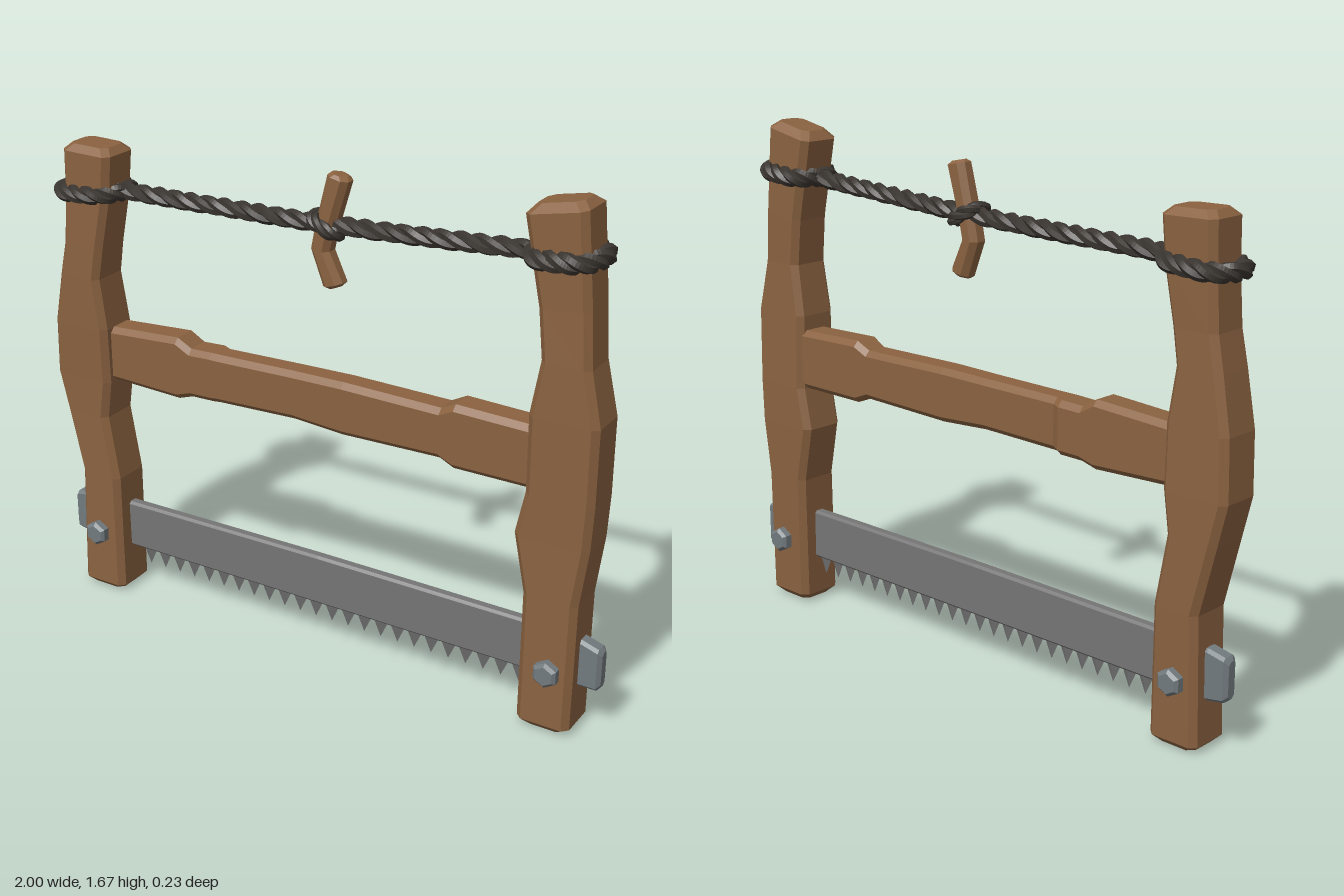
import * as THREE from 'three';

const wood = new THREE.MeshStandardMaterial({ color: 0x8a6240 });
const steel = new THREE.MeshStandardMaterial({ color: 0x757575 });
const boltSteel = new THREE.MeshStandardMaterial({ color: 0x727a7e });
const rope = new THREE.MeshStandardMaterial({ color: 0x3a3530 });

// faceted normals for a low-poly look
function faceted(geo) {
  const g = geo.index ? geo.toNonIndexed() : geo;
  g.computeVertexNormals();
  return g;
}

function addMesh(group, name, geo, material) {
  const mesh = new THREE.Mesh(faceted(geo), material);
  mesh.name = name;
  group.add(mesh);
  return mesh;
}

// Chamfered beam along 'x' or 'y'. Section: [u, a0, a1, z0, z1, tilt],
// where u runs along the beam and a is the other front-plane axis.
function beam(axis, sections, chamfer, bevel) {
  const shrink = ([u, a0, a1, z0, z1, t = 0], du) =>
    [u + du, a0 + bevel, a1 - bevel, z0 + bevel, z1 - bevel, t];
  const first = sections[0], last = sections[sections.length - 1];
  const moved = (s, du) => [s[0] + du, ...s.slice(1)];
  const all = [first, moved(first, bevel), ...sections.slice(1, -1), moved(last, -bevel), last];
  all[0] = shrink(first, 0);
  all[all.length - 1] = shrink(last, 0);

  const rings = all.map(([u, a0, a1, z0, z1, t = 0]) => {
    const c = chamfer, mid = (a0 + a1) / 2;
    return [[a1, z0 + c], [a1, z1 - c], [a1 - c, z1], [a0 + c, z1],
      [a0, z1 - c], [a0, z0 + c], [a0 + c, z0], [a1 - c, z0]].map(([a, z]) => {
      const v = u + t * (a - mid);
      return axis === 'x' ? [v, a, z] : [a, v, z];
    });
  });
  const pos = [];
  const tri = (p, q, r) => pos.push(...p, ...(axis === 'x' ? q : r), ...(axis === 'x' ? r : q));
  for (let s = 0; s < rings.length - 1; s++) {
    for (let i = 0; i < 8; i++) {
      const j = (i + 1) % 8, A = rings[s], B = rings[s + 1];
      tri(A[i], A[j], B[j]);
      tri(A[i], B[j], B[i]);
    }
  }
  const end = rings[rings.length - 1];
  for (let i = 1; i < 7; i++) {
    tri(rings[0][0], rings[0][i + 1], rings[0][i]);
    tri(end[0], end[i], end[i + 1]);
  }
  const geo = new THREE.BufferGeometry();
  geo.setAttribute('position', new THREE.Float32BufferAttribute(pos, 3));
  return geo;
}

// Three strands wound around a path
function twistedRope(name, path, radius, turns, steps) {
  const group = new THREE.Group();
  group.name = name;
  const closed = path.closed === true;
  const frames = path.computeFrenetFrames(steps, closed);
  for (let k = 0; k < 3; k++) {
    const pts = [];
    for (let i = 0; i < steps + (closed ? 0 : 1); i++) {
      const angle = (i / steps * turns + k / 3) * Math.PI * 2;
      pts.push(path.getPointAt(i / steps)
        .addScaledVector(frames.normals[i], Math.cos(angle) * radius * 0.5)
        .addScaledVector(frames.binormals[i], Math.sin(angle) * radius * 0.5));
    }
    const strand = new THREE.CatmullRomCurve3(pts, closed);
    addMesh(group, 'ropeStrand', new THREE.TubeGeometry(strand, steps, radius * 0.56, 6, closed), rope);
  }
  return group;
}

// Rounded-square loop around a post, sloping along x
function loopPath(cx, cy, rx, rz, slope) {
  const pts = [];
  const soft = (v) => Math.sign(v) * Math.abs(v) ** 0.75;
  for (let i = 0; i < 20; i++) {
    const a = i / 20 * Math.PI * 2;
    const x = soft(Math.cos(a)) * rx;
    pts.push(new THREE.Vector3(cx + x, cy + x * slope, soft(Math.sin(a)) * rz));
  }
  return new THREE.CatmullRomCurve3(pts, true);
}

export function createModel() {
  const model = new THREE.Group();
  model.name = 'frameSaw';

  // Upright posts
  addMesh(model, 'rightPost', beam('y', [
    [0.00, -0.925, -0.755, -0.075, 0.085],
    [0.43, -0.915, -0.760, -0.080, 0.080],
    [0.65, -0.970, -0.800, -0.082, 0.076],
    [0.78, -1.000, -0.780, -0.080, 0.078],
    [0.97, -0.992, -0.780, -0.076, 0.083],
    [1.14, -0.960, -0.803, -0.070, 0.083],
    [1.25, -0.938, -0.785, -0.068, 0.080],
    [1.42, -0.928, -0.752, -0.070, 0.075],
    [1.58, -0.925, -0.740, -0.072, 0.075, -0.02],
  ], 0.02, 0.022), wood);
  addMesh(model, 'leftPost', beam('y', [
    [0.00, 0.755, 0.930, -0.075, 0.085],
    [0.45, 0.752, 0.930, -0.080, 0.078],
    [0.64, 0.712, 0.953, -0.082, 0.075],
    [0.78, 0.742, 0.960, -0.080, 0.078],
    [1.03, 0.742, 0.962, -0.074, 0.083],
    [1.20, 0.770, 0.925, -0.068, 0.080],
    [1.36, 0.752, 0.912, -0.070, 0.076, 0.1],
    [1.66, 0.698, 0.885, -0.070, 0.078, 0.2],
  ], 0.02, 0.025), wood);

  // Crossbar with thicker shoulders
  addMesh(model, 'crossbar', beam('x', [
    [-0.82, 0.785, 0.970, -0.060, 0.047],
    [-0.52, 0.775, 0.987, -0.064, 0.047],
    [-0.47, 0.790, 0.957, -0.066, 0.042],
    [-0.39, 0.792, 0.960, -0.068, 0.042],
    [-0.36, 0.795, 0.960, -0.052, 0.042],
    [-0.08, 0.803, 0.965, -0.058, 0.038],
    [0.10, 0.792, 0.968, -0.060, 0.040],
    [0.44, 0.800, 0.963, -0.060, 0.042],
    [0.49, 0.780, 0.988, -0.064, 0.047],
    [0.79, 0.780, 0.980, -0.062, 0.047],
  ], 0.018, 0.01), wood);

  // Blade, its end tabs and teeth
  addMesh(model, 'blade', beam('x', [
    [-0.92, 0.158, 0.325, -0.020, 0.020],
    [0.00, 0.158, 0.332, -0.020, 0.020],
    [0.92, 0.158, 0.328, -0.020, 0.020],
  ], 0.008, 0.004), steel);
  addMesh(model, 'rightBladeTab', beam('x', [
    [-0.995, 0.170, 0.310, -0.027, 0.027],
    [-0.925, 0.160, 0.322, -0.027, 0.027],
    [-0.85, 0.160, 0.322, -0.027, 0.027],
  ], 0.01, 0.012), boltSteel);
  addMesh(model, 'leftBladeTab', beam('x', [
    [0.85, 0.160, 0.322, -0.027, 0.027],
    [0.925, 0.160, 0.322, -0.027, 0.027],
    [1.0, 0.160, 0.302, -0.027, 0.027],
  ], 0.01, 0.012), boltSteel);
  for (let i = 0; i < 24; i++) {
    const tooth = addMesh(model, 'tooth', new THREE.ConeGeometry(0.031, 0.068, 4), steel);
    tooth.rotation.x = Math.PI;
    tooth.scale.z = 0.5;
    tooth.position.set(-0.69 + i * 0.0615, 0.132, 0);
  }

  // Hexagonal bolts through the posts
  for (const x of [-0.845, 0.855]) {
    for (const side of [1, -1]) {
      const bolt = new THREE.Group();
      bolt.name = 'bolt';
      const head = addMesh(bolt, 'boltHead', new THREE.CylinderGeometry(0.043, 0.043, 0.03, 6), boltSteel);
      head.position.y = 0.005;
      const cap = addMesh(bolt, 'boltCap', new THREE.CylinderGeometry(0.032, 0.043, 0.01, 6), boltSteel);
      cap.position.y = 0.025;
      bolt.rotation.x = side * Math.PI / 2;
      bolt.position.set(x, 0.217, side > 0 ? 0.085 : -0.08);
      model.add(bolt);
    }
  }

  // Tension rope and the loops around the posts
  const span = new THREE.CatmullRomCurve3([
    new THREE.Vector3(-0.76, 1.436, 0), new THREE.Vector3(-0.35, 1.444, 0),
    new THREE.Vector3(0.04, 1.455, 0), new THREE.Vector3(0.4, 1.475, 0),
    new THREE.Vector3(0.75, 1.497, 0),
  ]);
  model.add(twistedRope('tensionRope', span, 0.029, 8, 160));
  model.add(twistedRope('rightRopeLoop', loopPath(-0.848, 1.425, 0.11, 0.078, 0.07), 0.029, 4, 90));
  model.add(twistedRope('leftRopeLoop', loopPath(0.81, 1.502, 0.098, 0.08, 0.07), 0.031, 4, 90));

  // Bent tightening peg and the rope knot around it
  addMesh(model, 'tighteningPeg', beam('y', [
    [1.262, 0.022, 0.090, -0.032, 0.032, 0.3],
    [1.375, -0.020, 0.045, -0.034, 0.034],
    [1.450, -0.005, 0.062, -0.034, 0.034],
    [1.615, 0.036, 0.108, -0.032, 0.032, -0.2],
  ], 0.018, 0.01), wood);
  model.add(twistedRope('pegKnot', loopPath(0.033, 1.455, 0.042, 0.042, -0.5), 0.022, 2, 48));

  return model;
}
